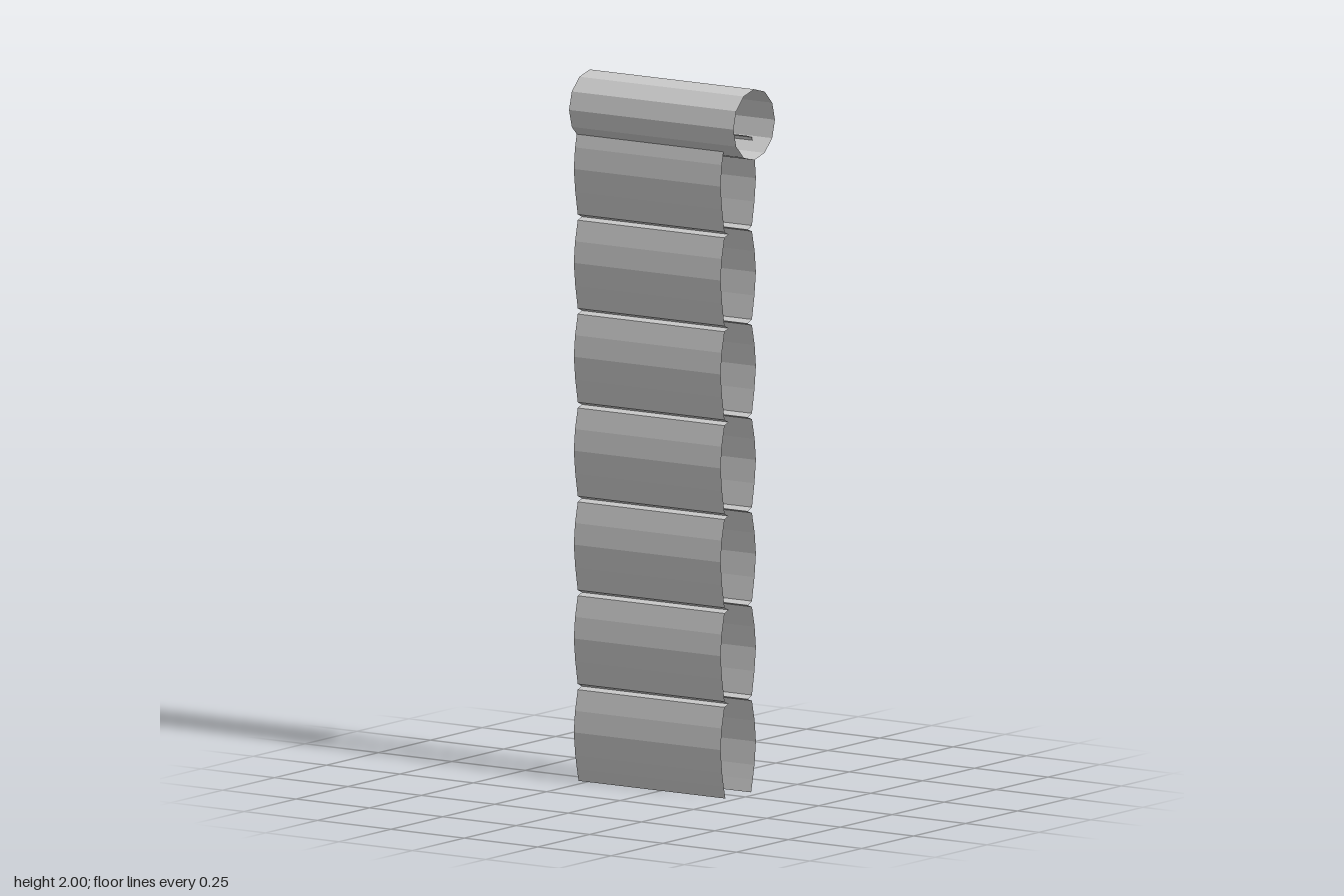
import * as THREE from 'three';

const grey = new THREE.MeshStandardMaterial({ color: 0xcccccc, flatShading: true, side: THREE.DoubleSide });

const SLATS = 7, PITCH = 0.265;
const Z_BACK = -0.28, Z_FRONT = 0.22;
const CENTRE_X = 0.008; // the two curtains hang slightly off the roll's axis

// Side profile of a curtain: bulging slats joined by narrow inward folds
function curtainProfile() {
  const points = [[0.062, 0]];
  for (let i = 0; i < SLATS; i++) {
    const y = i * PITCH;
    points.push(
      i === 0 ? [0.07, 0.035] : [0.066, y + 0.009],
      [0.078, y + 0.075],
      [0.085, y + 0.14],
      [0.079, y + 0.2],
      [0.066, y + PITCH - 0.007],
      [0.046, y + PITCH], // fold between slats
    );
  }
  return points;
}

// Sweeps the profile straight along z; side is +1 or -1
function curtain(side) {
  const profile = curtainProfile();
  const positions = [], index = [];
  profile.forEach(([x, y], i) => {
    const px = CENTRE_X + side * x;
    positions.push(px, y, Z_FRONT, px, y, Z_BACK);
    if (i === 0) return;
    const a = 2 * (i - 1), b = a + 1, c = a + 2, d = a + 3;
    if (side > 0) index.push(a, b, d, a, d, c);
    else index.push(a, d, b, a, c, d);
  });
  const geometry = new THREE.BufferGeometry();
  geometry.setAttribute('position', new THREE.Float32BufferAttribute(positions, 3));
  geometry.setIndex(index);
  const flat = geometry.toNonIndexed();
  flat.computeVertexNormals();
  return new THREE.Mesh(flat, grey);
}

export function createModel() {
  const group = new THREE.Group();
  group.name = 'slattedCurtain';

  // Open twelve-sided roll across the top
  const rollGeometry = new THREE.CylinderGeometry(0.1, 0.1, 0.56, 12, 1, true);
  rollGeometry.rotateX(Math.PI / 2);
  const roll = new THREE.Mesh(rollGeometry, grey);
  roll.position.y = 1.9;
  roll.name = 'topRoll';
  group.add(roll);

  // Two facing slatted curtains hanging from the roll
  for (const side of [1, -1]) {
    const mesh = curtain(side);
    mesh.name = side > 0 ? 'leftCurtain' : 'rightCurtain';
    group.add(mesh);
  }
  return group;
}
